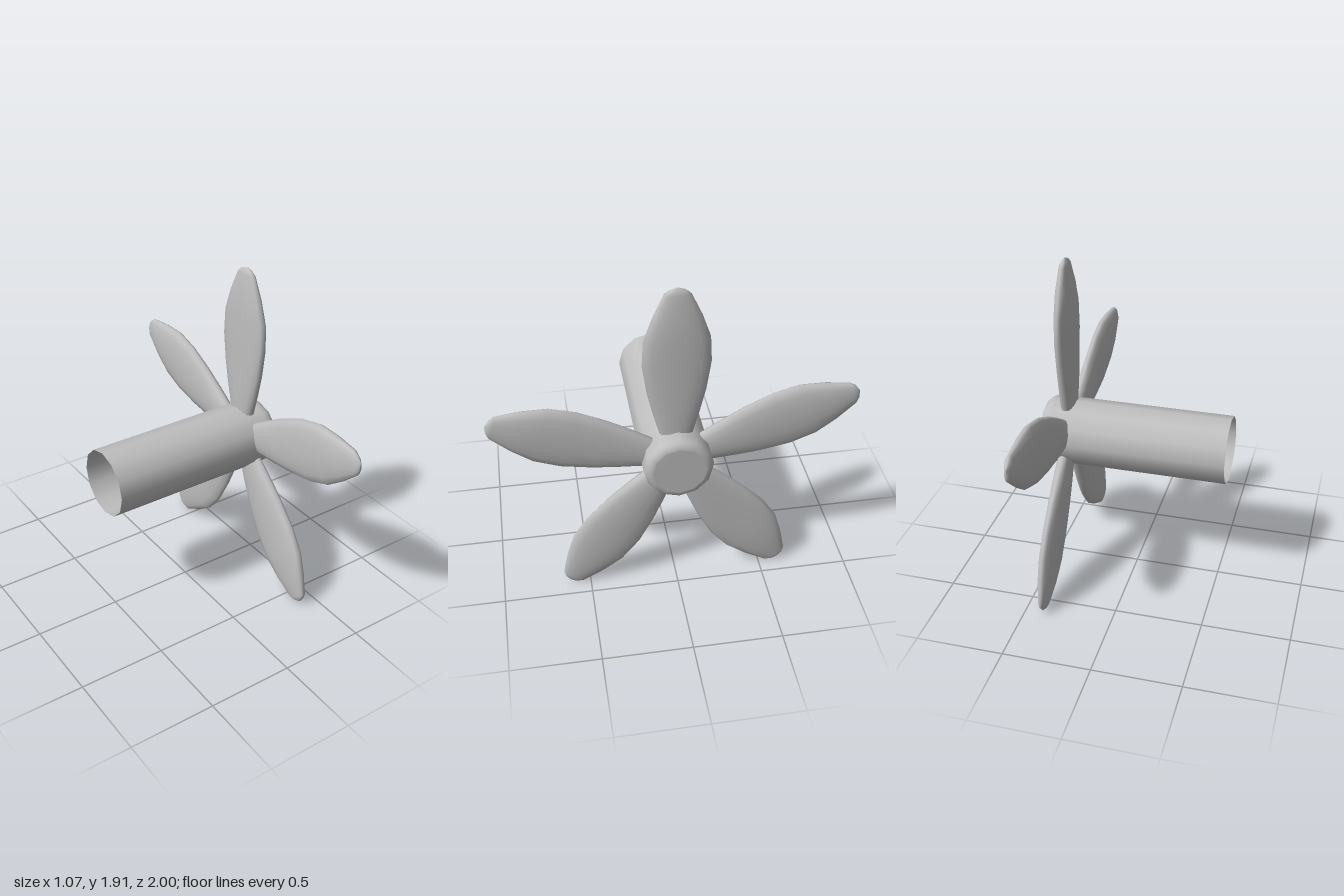
import * as THREE from 'three';

const AXIS_Y = 0.865; // height of the shaft axis
const BLADE_X = 0.4;

// Blade stations along its length: [radius, half width, half thickness]
const STATIONS = [
  [0.13, 0.08, 0.04], [0.17, 0.092, 0.041], [0.3, 0.126, 0.043],
  [0.435, 0.157, 0.043], [0.606, 0.181, 0.043], [0.755, 0.173, 0.043],
  [0.885, 0.128, 0.039], [1.012, 0.07, 0.024], [1.035, 0.042, 0.015], [1.05, 0, 0],
];

// Loft of rounded, flattened cross-sections, growing along +y
function bladeGeometry(sides = 16) {
  const pos = [], index = [];
  for (const [r, w, t] of STATIONS) {
    for (let i = 0; i < sides; i++) {
      const a = (i / sides) * Math.PI * 2, s = Math.sin(a);
      pos.push(t * Math.sign(s) * Math.abs(s) ** 0.8, r, w * Math.cos(a));
    }
  }
  for (let j = 0; j < STATIONS.length - 1; j++) {
    for (let i = 0; i < sides; i++) {
      const a = j * sides + i, b = j * sides + (i + 1) % sides;
      index.push(a, b, b + sides);
      if (j < STATIONS.length - 2) index.push(a, b + sides, a + sides);
    }
  }
  const g = new THREE.BufferGeometry();
  g.setAttribute('position', new THREE.Float32BufferAttribute(pos, 3));
  g.setIndex(index);
  g.computeVertexNormals();
  return g;
}

// Solid of revolution around the x axis from [radius, x] points
function turned(points) {
  const g = new THREE.LatheGeometry(points.map(([r, x]) => new THREE.Vector2(r, x)), 12);
  return g.rotateZ(-Math.PI / 2);
}

export function createModel() {
  const model = new THREE.Group();
  model.name = 'propeller';
  const grey = new THREE.MeshStandardMaterial({ color: 0xbfbfbf, side: THREE.DoubleSide });
  grey.name = 'light grey';

  // Hollow shaft, open at the far end
  const shaft = new THREE.Mesh(turned([[0.193, -0.538], [0.193, 0.48]]), grey);
  shaft.name = 'shaft';
  // Rounded hub cap closing the other end
  const cap = new THREE.Mesh(turned([
    [0.193, 0.48], [0.191, 0.498], [0.183, 0.517], [0.169, 0.53],
    [0.152, 0.535], [0.145, 0.536], [0, 0.536],
  ]), grey);
  cap.name = 'hubCap';
  for (const part of [shaft, cap]) {
    part.position.y = AXIS_Y;
    model.add(part);
  }

  // Five blades around the shaft
  const geometry = bladeGeometry();
  for (let i = 0; i < 5; i++) {
    const blade = new THREE.Mesh(geometry, grey);
    blade.name = `blade${i + 1}`;
    blade.position.set(BLADE_X, AXIS_Y, 0);
    blade.rotation.x = (i / 5) * Math.PI * 2;
    model.add(blade);
  }
  return model;
}
